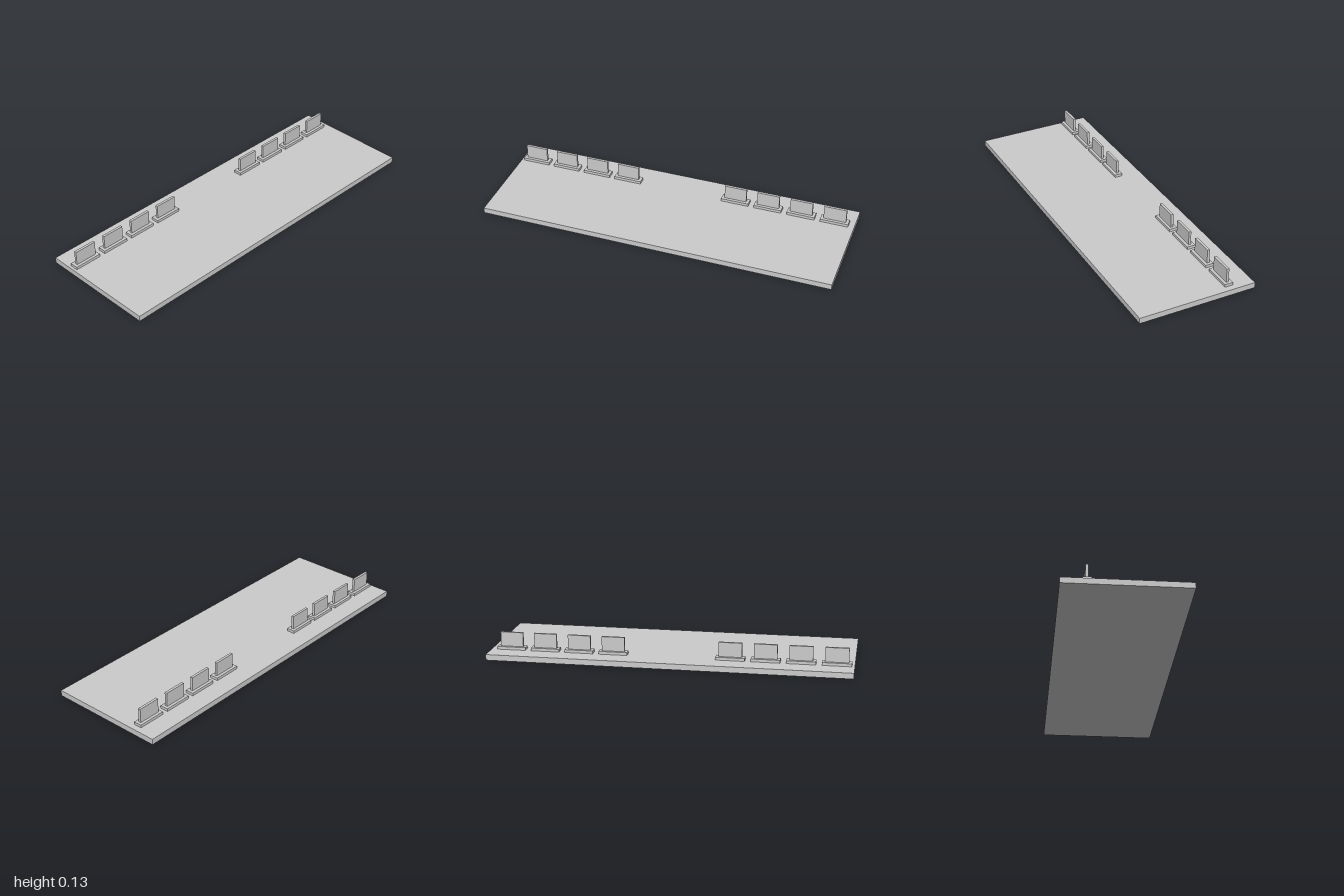
import * as THREE from 'three';

const material = new THREE.MeshStandardMaterial({ color: 0xcccccc, flatShading: true });

// Box standing on height y
function box(name, w, h, d, y) {
  const mesh = new THREE.Mesh(new THREE.BoxGeometry(w, h, d), material);
  mesh.name = name;
  mesh.position.y = y + h / 2;
  return mesh;
}

// Upright slab on a low plinth
function createHeadstone() {
  const stone = new THREE.Group();
  stone.name = 'headstone';
  stone.add(box('plinth', 0.159, 0.016, 0.047, 0));
  stone.add(box('uprightSlab', 0.127, 0.08, 0.0145, 0.016));
  return stone;
}

export function createModel() {
  const model = new THREE.Group();
  const groundHeight = 0.032;
  model.add(box('groundSlab', 2, groundHeight, 0.667, 0));

  // Two rows of four stones along the back, with a gap in the middle
  const spacing = 0.191;
  for (const [side, start] of [['right', -0.905], ['left', 0.314]]) {
    const row = new THREE.Group();
    row.name = side + 'Row';
    for (let i = 0; i < 4; i++) {
      const stone = createHeadstone();
      stone.position.set(start + i * spacing, groundHeight, -0.198);
      row.add(stone);
    }
    model.add(row);
  }
  return model;
}
